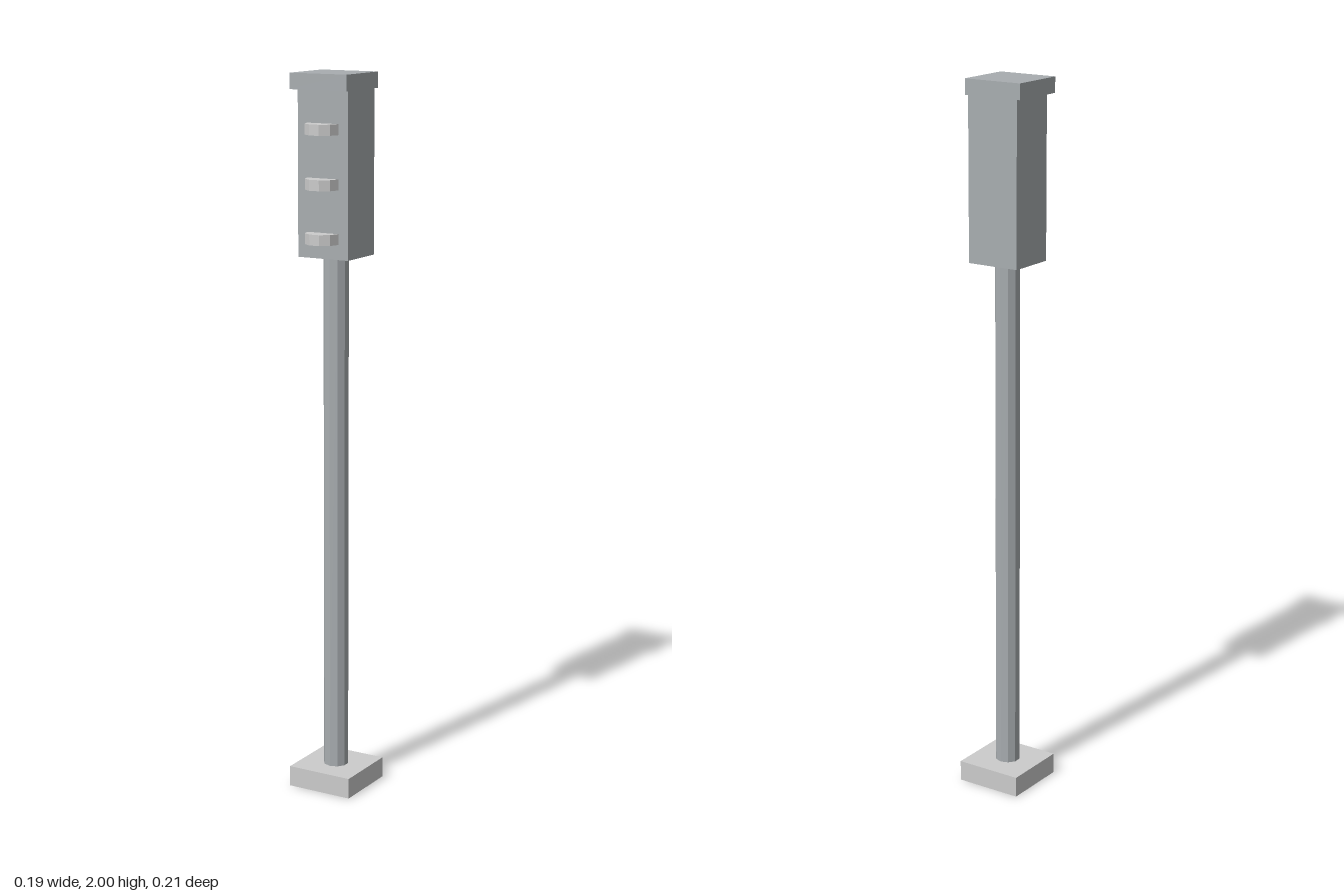
import * as THREE from 'three';

export function createModel() {
  const group = new THREE.Group();
  const light = new THREE.MeshStandardMaterial({ color: 0xcccccc, flatShading: true });
  const dark = new THREE.MeshStandardMaterial({ color: 0xa8adb0, flatShading: true });

  function add(name, geometry, material, x, y, z) {
    const mesh = new THREE.Mesh(geometry, material);
    mesh.name = name;
    mesh.position.set(x, y, z);
    group.add(mesh);
  }

  // Box given by its width and its y and z limits
  function addBox(name, material, width, y0, y1, z0, z1) {
    const geometry = new THREE.BoxGeometry(width, y1 - y0, z1 - z0);
    add(name, geometry, material, 0, (y0 + y1) / 2, (z0 + z1) / 2);
  }

  // Foot plate and post
  addBox('base', light, 0.192, 0, 0.058, -0.108, 0.084);
  add('pole', new THREE.CylinderGeometry(0.035, 0.035, 1.452, 10), dark, 0, 0.784, -0.01);

  // Signal housing with a cap that overhangs the front and sides
  addBox('housing', dark, 0.154, 1.51, 1.957, -0.08, 0.06);
  addBox('cap', dark, 0.174, 1.957, 2, -0.08, 0.084);

  // Half-round visors over the three lamps
  const visor = new THREE.CylinderGeometry(0.048, 0.048, 0.029, 5, 1, false, -Math.PI / 2, Math.PI);
  ['topVisor', 'middleVisor', 'bottomVisor'].forEach((name, i) => {
    add(name, visor, light, 0, 1.855 - i * 0.145, 0.06);
  });

  return group;
}
